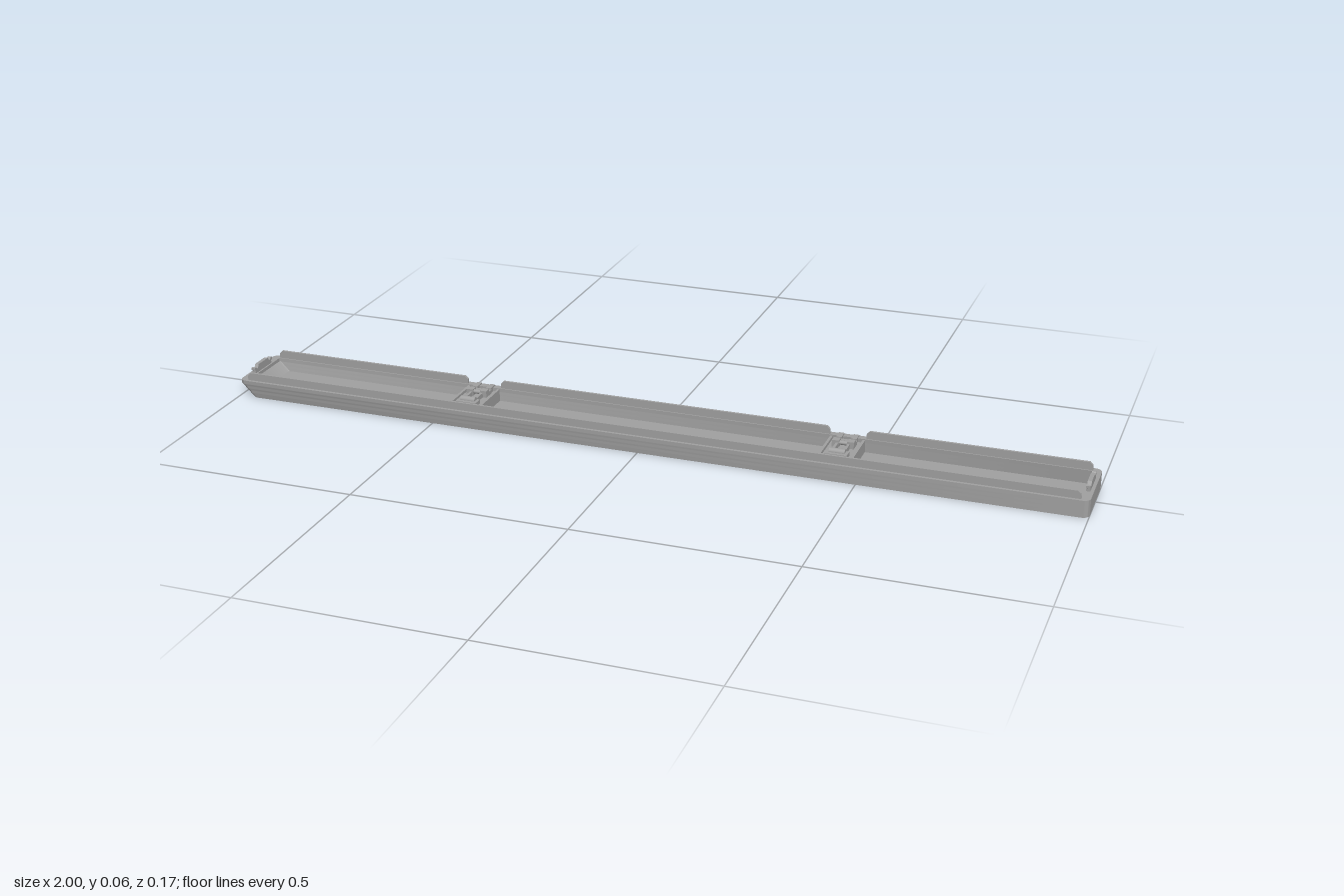
import * as THREE from 'three';
import { toCreasedNormals } from 'three/addons/utils/BufferGeometryUtils.js';

const gray = new THREE.MeshStandardMaterial({ color: 0xa0a0a0 });
gray.name = 'gray plastic';

const RIM = 0.039, TOP = 0.057, FLOOR = 0.008, KINK = 0.031;

function add(parent, name, geometry, x = 0, y = 0, z = 0) {
  const mesh = new THREE.Mesh(geometry, gray);
  mesh.name = name;
  mesh.position.set(x, y, z);
  parent.add(mesh);
  return mesh;
}

// box given by its minimum and maximum corners
function block(parent, name, [x0, y0, z0], [x1, y1, z1]) {
  return add(parent, name, new THREE.BoxGeometry(x1 - x0, y1 - y0, z1 - z0),
    (x0 + x1) / 2, (y0 + y1) / 2, (z0 + z1) / 2);
}

function roundedRect(path, x0, x1, h, r) {
  path.moveTo(x0 + r, -h);
  path.lineTo(x1 - r, -h);
  path.absarc(x1 - r, -h + r, r, -Math.PI / 2, 0);
  path.lineTo(x1, h - r);
  path.absarc(x1 - r, h - r, r, 0, Math.PI / 2);
  path.lineTo(x0 + r, h);
  path.absarc(x0 + r, h - r, r, Math.PI / 2, Math.PI);
  path.lineTo(x0, -h + r);
  path.absarc(x0 + r, -h + r, r, Math.PI, Math.PI * 1.5);
  return path;
}

// extrude a plan upward, then slant the lower part of the -x end inward
function slantedPrism(shape, y0, y1, steps) {
  const g = new THREE.ExtrudeGeometry(shape, { depth: y1 - y0, steps, bevelEnabled: false, curveSegments: 8 });
  g.rotateX(-Math.PI / 2);
  g.translate(0, y0, 0);
  const p = g.attributes.position;
  for (let i = 0; i < p.count; i++) {
    if (p.getX(i) < -0.9) p.setX(i, p.getX(i) + Math.max(0, KINK - p.getY(i)));
  }
  return toCreasedNormals(g, 0.5);
}

// end tab: raised centre with a small hook on each side
function endTab() {
  const s = new THREE.Shape();
  const half = [[0.022, TOP], [0.027, 0.049], [0.031, 0.049], [0.036, 0.054], [0.041, 0.053], [0.041, 0.048], [0.037, 0.046], [0.037, RIM - 0.002]];
  half.forEach(([z, y], i) => (i ? s.lineTo(z, y) : s.moveTo(z, y)));
  [...half].reverse().forEach(([z, y]) => s.lineTo(-z, y));
  const g = new THREE.ExtrudeGeometry(s, { depth: 0.009, bevelEnabled: false });
  g.translate(0, 0, -0.0045);
  g.rotateY(Math.PI / 2);
  return g;
}

// latch seat with its raised arm, knuckles and button
function latch(x) {
  const g = new THREE.Group();
  g.name = 'latch';
  g.position.x = x;
  block(g, 'latchBase', [-0.04, FLOOR, -0.072], [0.04, 0.03, 0.05]);
  for (const s of [-1, 1]) {
    block(g, 'latchSideRib', [s * 0.037 - 0.003, 0.03, -0.07], [s * 0.037 + 0.003, 0.037, 0.05]);
    block(g, 'latchHook', [s * 0.017 - 0.006, 0.03, -0.084], [s * 0.017 + 0.006, 0.042, -0.058]);
    block(g, 'latchKnuckle', [s * 0.017 - 0.008, 0.03, -0.045], [s * 0.017 + 0.008, 0.046, -0.028]);
    block(g, 'latchArmRail', [s * 0.013 - 0.003, 0.03, -0.03], [s * 0.013 + 0.003, 0.041, 0.008]);
  }
  block(g, 'latchBridge', [-0.025, 0.03, -0.058], [0.025, 0.039, -0.045]);
  const pin = add(g, 'latchPin', new THREE.CylinderGeometry(0.005, 0.005, 0.05, 12), 0, 0.039, -0.036);
  pin.rotation.z = Math.PI / 2;
  block(g, 'latchButton', [-0.025, 0.03, 0.008], [0.025, 0.04, 0.034]);
  const roll = add(g, 'latchRoll', new THREE.CylinderGeometry(0.008, 0.008, 0.036, 14), 0, 0.04, 0.017);
  roll.rotation.z = Math.PI / 2;
  return g;
}

export function createModel() {
  const model = new THREE.Group();
  model.name = 'trayCover';

  // tray floor and walls
  const outline = () => roundedRect(new THREE.Shape(), -1, 1, 0.087, 0.016);
  add(model, 'trayFloor', slantedPrism(outline(), 0, FLOOR, 1));
  const ring = outline();
  ring.holes.push(roundedRect(new THREE.Path(), -0.98, 0.98, 0.071, 0.004));
  add(model, 'trayWalls', slantedPrism(ring, FLOOR, RIM, 31));

  // thin lips with bevelled ends; the back lip is broken at the latches
  const lip = (name, x0, x1, z) => {
    const s = new THREE.Shape();
    const c = 0.007;
    s.moveTo(x0, RIM - 0.002);
    s.lineTo(x1, RIM - 0.002);
    s.lineTo(x1, TOP - c);
    s.lineTo(x1 - c, TOP);
    s.lineTo(x0 + c, TOP);
    s.lineTo(x0, TOP - c);
    const g = new THREE.ExtrudeGeometry(s, { depth: 0.006, bevelEnabled: false });
    add(model, name, g, 0, 0, z - 0.003);
  };
  lip('frontLip', -0.98, 0.98, 0.077);
  lip('backLip', -0.98, -0.482, -0.077);
  lip('backLip', -0.398, 0.398, -0.077);
  lip('backLip', 0.482, 0.98, -0.077);

  // end tabs and latches
  for (const s of [-1, 1]) {
    add(model, 'endTab', endTab(), s * 0.988, 0, 0);
    model.add(latch(s * 0.44));
  }
  return model;
}
